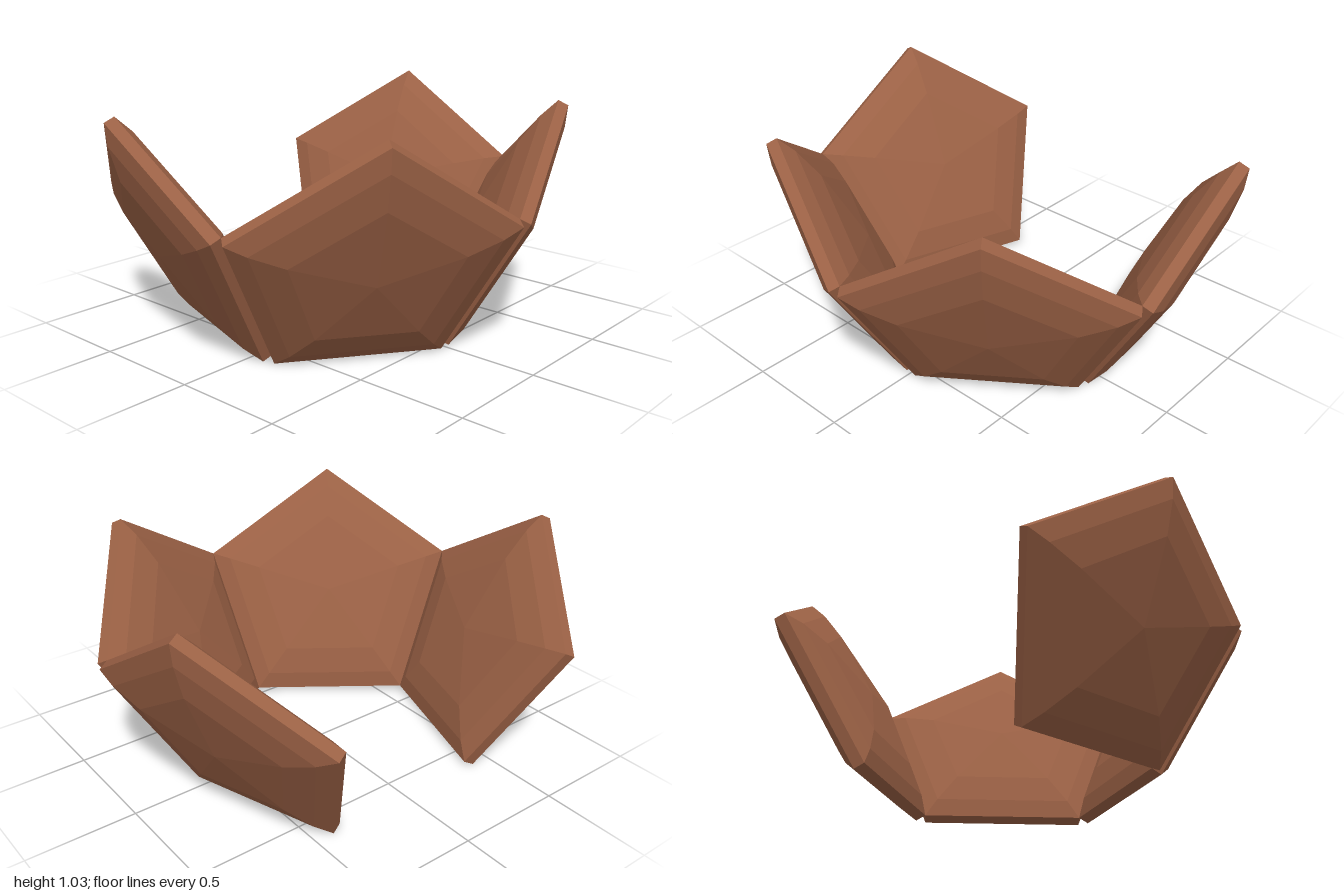
import * as THREE from 'three';

// Four pillow-shaped pentagon panels, set like the lower ring of a dodecahedron with the back one left out
export function createModel() {
  const model = new THREE.Group();
  model.name = 'pentagonBowl';
  const edge = 0.733, thickness = 0.05;
  const radius = 0.8507 * edge;
  const brown = new THREE.MeshStandardMaterial({ color: 0x9b6145, flatShading: true });

  // Panel section: inner dome, straight rim, outer dome as [scale, height]
  const profile = [
    [0, -0.085], [0.6, -0.065], [0.85, -0.035], [1, 0],
    [1, thickness], [0.85, thickness + 0.035], [0.6, thickness + 0.065], [0, thickness + 0.085],
  ].map(([s, h]) => new THREE.Vector2(s * radius, h));

  // Five-sided lathe, turned so the outer face looks along +z with one corner up
  const panelGeometry = new THREE.LatheGeometry(profile, 5, Math.PI);
  panelGeometry.rotateX(Math.PI / 2);

  const tilt = Math.atan(0.5);
  const panels = { frontLeftPanel: 36, frontRightPanel: -36, rearLeftPanel: 108, rearRightPanel: -108 };
  for (const [name, degrees] of Object.entries(panels)) {
    const angle = THREE.MathUtils.degToRad(degrees);
    const panel = new THREE.Mesh(panelGeometry, brown);
    panel.name = name;
    panel.rotation.set(tilt, angle, 0, 'YXZ');
    panel.position.set(
      0.996 * edge * Math.sin(angle),
      0.6155 * edge + thickness * Math.sin(tilt),
      0.996 * edge * Math.cos(angle) - 0.105
    );
    model.add(panel);
  }
  return model;
}
